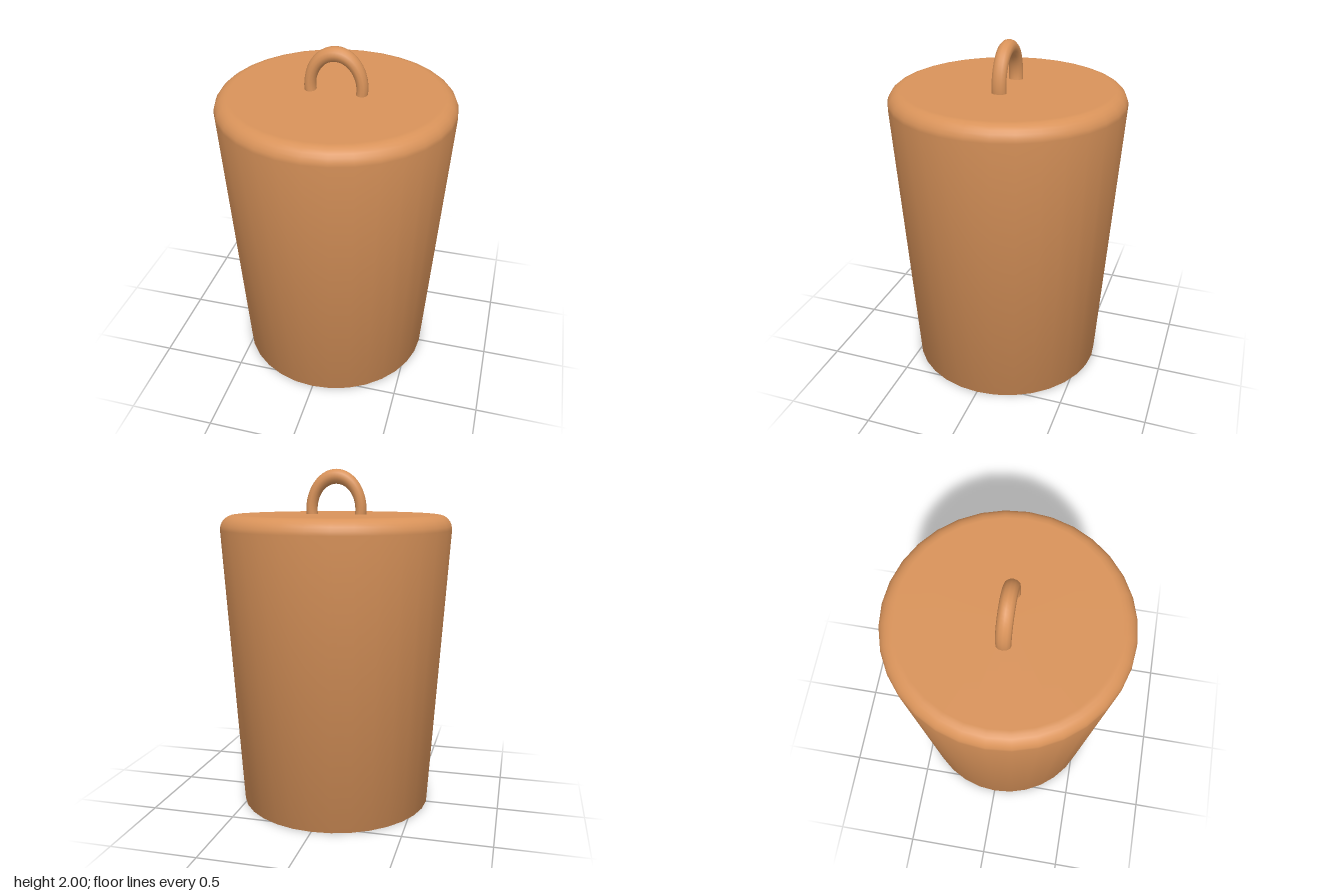
import * as THREE from 'three';

export function createModel() {
  const model = new THREE.Group();
  const clay = new THREE.MeshStandardMaterial({ color: 0xd9935a });

  // Tapered body: closed flat base, one long smooth wall, rounded shoulder, flat top
  const profile = [new THREE.Vector2(0, 0), new THREE.Vector2(0.57, 0)];
  const height = 1.74, fillet = 0.085, steps = 6;
  for (let i = 0; i <= steps; i++) {
    const a = (i / steps) * Math.PI / 2;
    profile.push(new THREE.Vector2(
      0.593 + fillet * Math.cos(a),
      height - fillet + fillet * Math.sin(a)
    ));
  }
  profile.push(new THREE.Vector2(0, height));
  const body = new THREE.Mesh(new THREE.LatheGeometry(profile, 32), clay);
  body.name = 'body';
  model.add(body);

  // Loop handle: a ring narrowed across x, its ends sunk into the top
  const sink = 0.35;
  const ring = new THREE.TorusGeometry(0.19, 0.0425, 12, 32, Math.PI + 2 * sink);
  ring.rotateZ(-sink);
  ring.scale(0.78, 1, 1);
  ring.translate(0, 1.7675, 0);
  const handle = new THREE.Mesh(ring, clay);
  handle.name = 'loopHandle';
  model.add(handle);

  return model;
}
